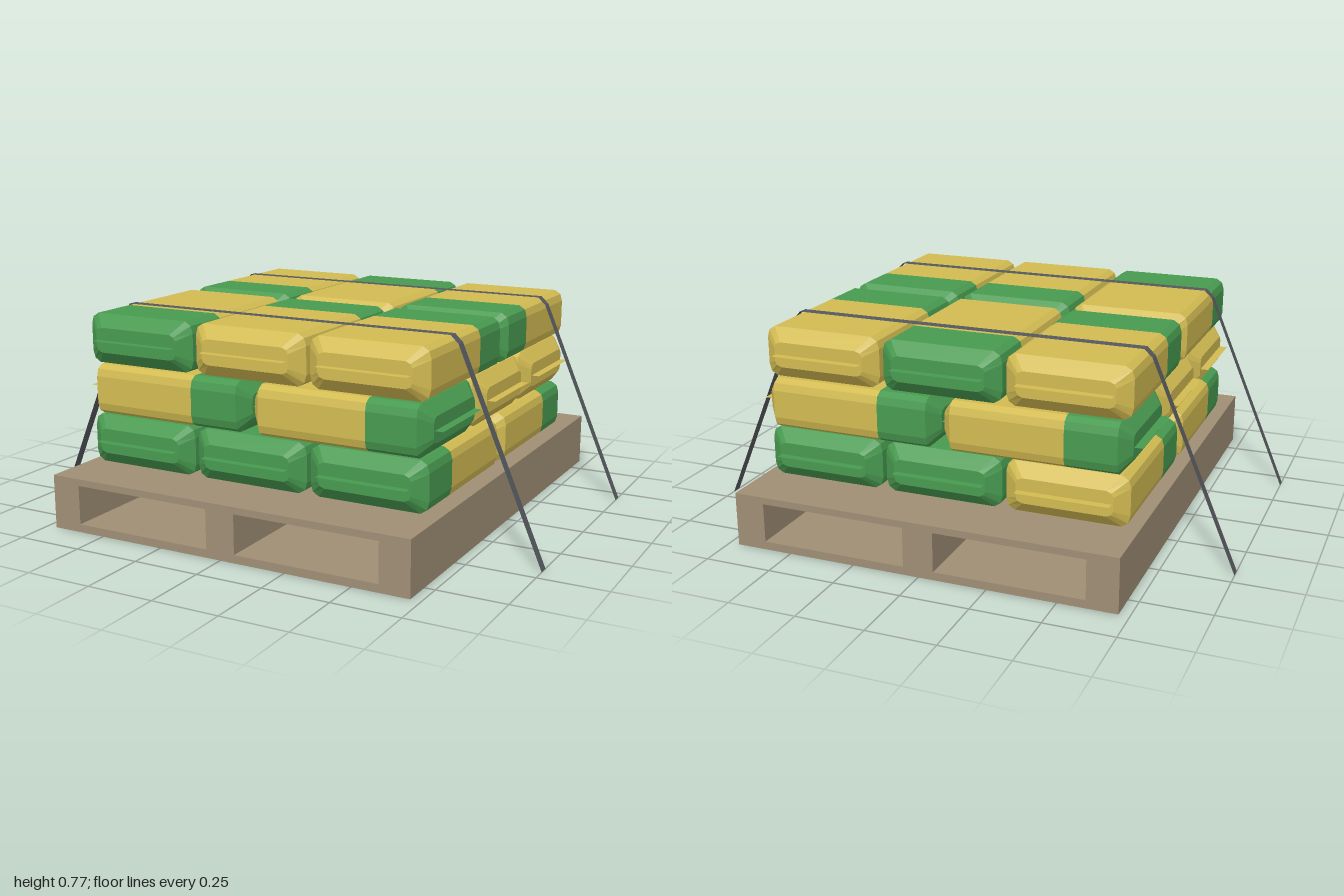
import * as THREE from 'three';

const mat = (color, side = THREE.FrontSide) =>
  new THREE.MeshStandardMaterial({ color, side, flatShading: true });
const YELLOW = 0xd2bb52, GREEN = 0x489a50;

// Quarter of the sack cross-section, mirrored into a closed loop (counter-clockwise)
const quarter = [[0.221, 0.05], [0.213, 0.077], [0.19, 0.0915]];
const flip = (pts, sx, sy) => pts.map(([x, y]) => [x * sx, y * sy]);
const section = [
  ...quarter,
  ...flip(quarter, -1, 1).reverse(),
  ...flip(quarter, -1, -1),
  ...flip(quarter, 1, -1).reverse(),
];

// Loft the section along z; rings are [z, scaleX, scaleY], caps close chosen ends
function loft(rings, capStart, capEnd) {
  const n = section.length, pos = [], idx = [];
  for (const [z, sx, sy] of rings)
    for (const [x, y] of section) pos.push(x * sx, y * sy, z);
  for (let r = 0; r < rings.length - 1; r++)
    for (let i = 0; i < n; i++) {
      const a = r * n + i, b = r * n + (i + 1) % n;
      idx.push(a, b, b + n, a, b + n, a + n);
    }
  const last = (rings.length - 1) * n;
  for (let i = 1; i < n - 1; i++) {
    if (capStart) idx.push(0, i + 1, i);
    if (capEnd) idx.push(last, last + i, last + i + 1);
  }
  const g = new THREE.BufferGeometry();
  g.setAttribute('position', new THREE.Float32BufferAttribute(pos, 3));
  g.setIndex(idx);
  g.computeVertexNormals();
  return g;
}

const HALF = 0.338, SHOULDER = 0.298, SPLIT = 0.113;
const bodyGeo = loft([[-HALF, 0.78, 0.5], [-SHOULDER, 1, 1], [SPLIT, 1, 1]], true, false);
const endGeo = loft([[SPLIT, 1, 1], [SHOULDER, 1, 1], [HALF, 0.78, 0.5]], false, true);
const flapGeo = new THREE.PlaneGeometry(0.335, 0.03).rotateX(-Math.PI / 2);

const yellow = mat(YELLOW), green = mat(GREEN);
const yellowFlap = mat(YELLOW, THREE.DoubleSide), greenFlap = mat(GREEN, THREE.DoubleSide);

function add(parent, name, geo, material) {
  const m = new THREE.Mesh(geo, material);
  m.name = name;
  parent.add(m);
  return m;
}

// One sack, its green end pointing along +z
function makeSack() {
  const sack = new THREE.Group();
  sack.name = 'sack';
  add(sack, 'sackBody', bodyGeo, yellow);
  add(sack, 'sackEnd', endGeo, green);
  add(sack, 'bodySeam', flapGeo, yellowFlap).position.z = -HALF - 0.015;
  add(sack, 'endSeam', flapGeo, greenFlap).position.z = HALF + 0.015;
  return sack;
}

// Each layer: two rows of three; dirs give the way each green end points
const layers = [
  { y: 0.298, crosswise: false, rows: [[1, -1, -1], [1, 1, 1]] },
  { y: 0.487, crosswise: true, rows: [[-1, 1, 1], [-1, -1, 1]] },
  { y: 0.675, crosswise: false, rows: [[1, -1, 1], [1, -1, -1]] },
];
const slots = [-0.459, -0.003, 0.454];

export function createModel() {
  const model = new THREE.Group();
  model.name = 'loadedPallet';

  // Pallet with two fork openings running right through
  const shape = new THREE.Shape();
  shape.moveTo(-0.712, 0).lineTo(0.712, 0).lineTo(0.712, 0.2).lineTo(-0.712, 0.2).closePath();
  for (const x of [-0.6, 0.056]) {
    const hole = new THREE.Path();
    hole.moveTo(x, 0.03).lineTo(x, 0.175).lineTo(x + 0.544, 0.175).lineTo(x + 0.544, 0.03).closePath();
    shape.holes.push(hole);
  }
  const palletGeo = new THREE.ExtrudeGeometry(shape, { depth: 1.716, bevelEnabled: false });
  palletGeo.translate(0, 0, -0.858);
  add(model, 'pallet', palletGeo, mat(0x9f8e75));

  // Stacked sacks
  layers.forEach(({ y, crosswise, rows }, l) => {
    const layer = new THREE.Group();
    layer.name = `sackLayer${l + 1}`;
    rows.forEach((row, r) => row.forEach((dir, i) => {
      const sack = makeSack();
      const along = r === 0 ? -0.343 : 0.343;
      if (crosswise) {
        sack.position.set(along, y, slots[i]);
        sack.rotation.y = dir * Math.PI / 2;
      } else {
        sack.position.set(slots[i], y, along);
        sack.rotation.y = dir > 0 ? 0 : Math.PI;
      }
      layer.add(sack);
    }));
    model.add(layer);
  });

  // Thin straps over the load, slanting outward to the ground
  const path = [[-1, 0], [-0.684, 0.742], [-0.655, 0.77], [0.655, 0.77], [0.684, 0.742], [1, 0]];
  const strapGeo = new THREE.PlaneGeometry(1, 0.038, path.length - 1, 1).rotateX(-Math.PI / 2);
  const p = strapGeo.attributes.position;
  for (let i = 0; i < p.count; i++) {
    const [x, y] = path[i % path.length];
    p.setXYZ(i, x, y, p.getZ(i));
  }
  strapGeo.computeVertexNormals();
  const strapMat = mat(0x55585d, THREE.DoubleSide);
  for (const z of [-0.43, 0.427]) add(model, 'strap', strapGeo, strapMat).position.z = z;

  return model;
}
